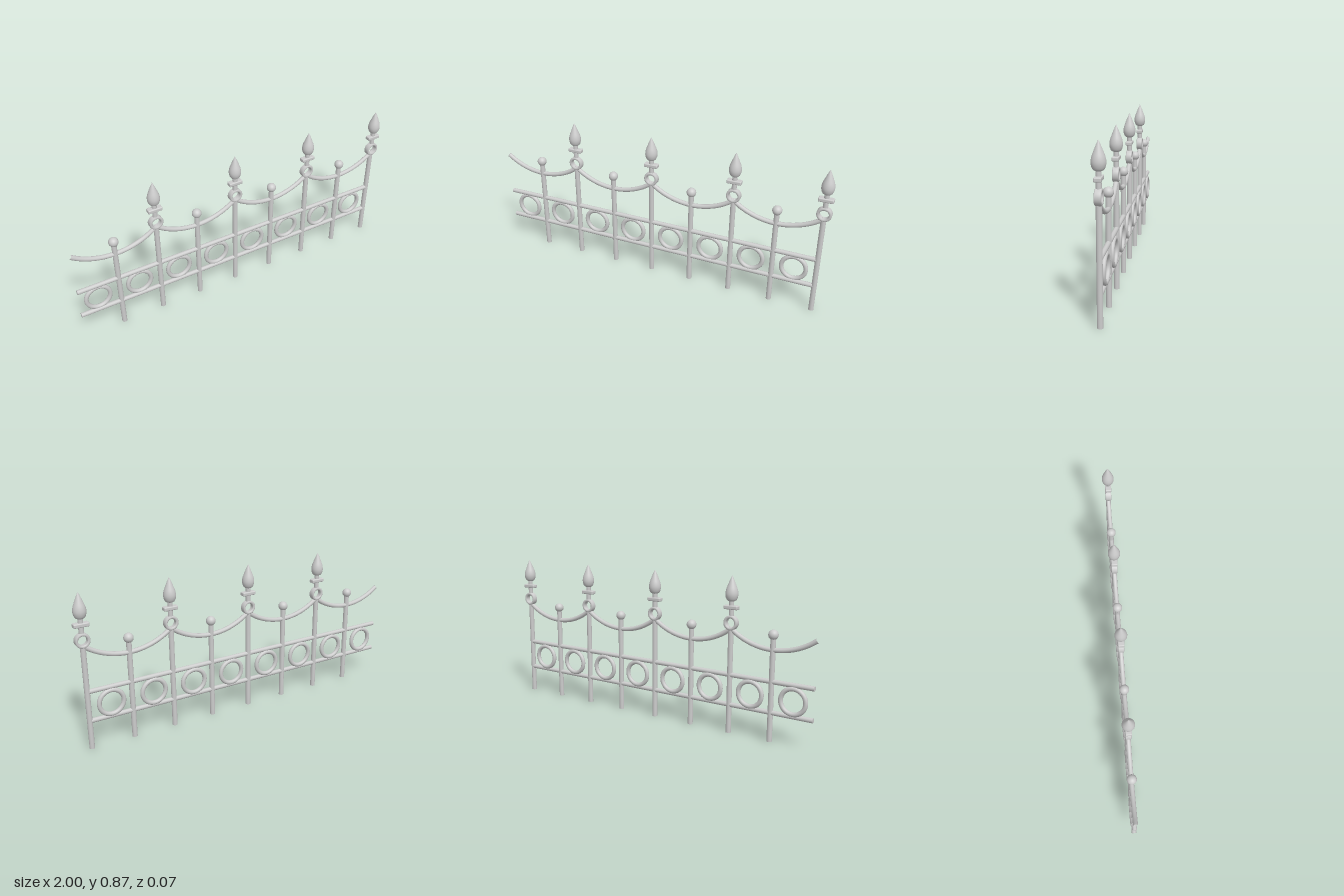
import * as THREE from 'three';
import { RoundedBoxGeometry } from 'three/addons/geometries/RoundedBoxGeometry.js';

const material = new THREE.MeshStandardMaterial({ color: 0xcccccc });
const V2 = (x, y) => new THREE.Vector2(x, y);
const SPACING = 0.489; // between spear posts
const LAST_X = 0.957; // end post

function add(parent, name, geometry, x = 0, y = 0, z = 0) {
  const mesh = new THREE.Mesh(geometry, material);
  mesh.name = name;
  mesh.position.set(x, y, z);
  parent.add(mesh);
  return mesh;
}

const rod = (radius, length) => new THREE.CylinderGeometry(radius, radius, length, 20);

// Leaf-shaped spear head, turned from a smooth profile
function spearGeometry() {
  const curve = new THREE.SplineCurve([
    V2(0.014, 0.729), V2(0.025, 0.735), V2(0.032, 0.75), V2(0.0345, 0.768),
    V2(0.031, 0.79), V2(0.022, 0.815), V2(0.011, 0.842), V2(0.0005, 0.865),
  ]);
  return new THREE.LatheGeometry([V2(0, 0.729), ...curve.getPoints(24)], 24);
}

// Flat band ring with softened edges, facing the front
function bandRingGeometry(inner, outer, halfDepth, bevel) {
  const profile = [
    V2(inner, -halfDepth + bevel), V2(inner + bevel, -halfDepth),
    V2(outer - bevel, -halfDepth), V2(outer, -halfDepth + bevel),
    V2(outer, halfDepth - bevel), V2(outer - bevel, halfDepth),
    V2(inner + bevel, halfDepth), V2(inner, halfDepth - bevel),
    V2(inner, -halfDepth + bevel),
  ];
  return new THREE.LatheGeometry(profile, 32).rotateX(Math.PI / 2);
}

// Hanging circular arc between two spear posts, lowest at the ball post
function scallopGeometry(startX, endX) {
  const radius = 0.393, low = 0.497;
  const points = [];
  for (let i = 0; i <= 12; i++) {
    const x = THREE.MathUtils.lerp(startX, endX, i / 12);
    points.push(new THREE.Vector3(x, low + radius - Math.sqrt(radius * radius - x * x), 0));
  }
  return new THREE.TubeGeometry(new THREE.CatmullRomCurve3(points), 32, 0.013, 12);
}

// Flat disc closing the cut end of the first scallop
function scallopEnd(parent, x) {
  const radius = 0.393;
  const cap = add(parent, 'scallopEnd', new THREE.CircleGeometry(0.013, 12),
    x, 0.497 + radius - Math.sqrt(radius * radius - x * x));
  cap.lookAt(x - Math.sqrt(radius * radius - x * x), cap.position.y - x * -1 + 0, 0);
  return cap;
}

export function createModel() {
  const fence = new THREE.Group();
  fence.name = 'fence';

  for (let i = 0; i < 4; i++) {
    const x = LAST_X - i * SPACING;

    // Tall post with ring, collar and spear head
    const tall = new THREE.Group();
    tall.name = 'spearPost';
    tall.position.x = x;
    fence.add(tall);
    add(tall, 'shaft', rod(0.0145, 0.58), 0, 0.29);
    add(tall, 'finialRing', bandRingGeometry(0.025, 0.04, 0.017, 0.004), 0, 0.613);
    add(tall, 'neck', rod(0.0135, 0.09), 0, 0.69);
    add(tall, 'collar', new RoundedBoxGeometry(0.082, 0.022, 0.036, 3, 0.006), 0, 0.696);
    add(tall, 'spearHead', spearGeometry());

    // Short post with ball top, carrying the scallop
    const short = new THREE.Group();
    short.name = 'ballPost';
    short.position.x = x - SPACING / 2;
    fence.add(short);
    add(short, 'shaft', rod(0.0145, 0.57), 0, 0.285);
    add(short, 'ball', new THREE.SphereGeometry(0.027, 20, 14), 0, 0.577);
    const isOpenEnd = i === 3;
    add(short, 'scallop', scallopGeometry(isOpenEnd ? -0.236 : -SPACING / 2, SPACING / 2));
    if (isOpenEnd) scallopEnd(short, -0.236);
  }

  // Two horizontal rails
  for (const y of [0.16, 0.328]) {
    const rail = add(fence, 'rail', rod(0.013, 1.947), -0.0165, y);
    rail.rotation.z = Math.PI / 2;
  }

  // Row of rings between the rails, set slightly to the back
  for (let i = 0; i < 8; i++) {
    add(fence, 'railRing', new THREE.TorusGeometry(0.0685, 0.0125, 14, 40),
      0.832 - i * SPACING / 2, 0.242, -0.006);
  }
  return fence;
}
